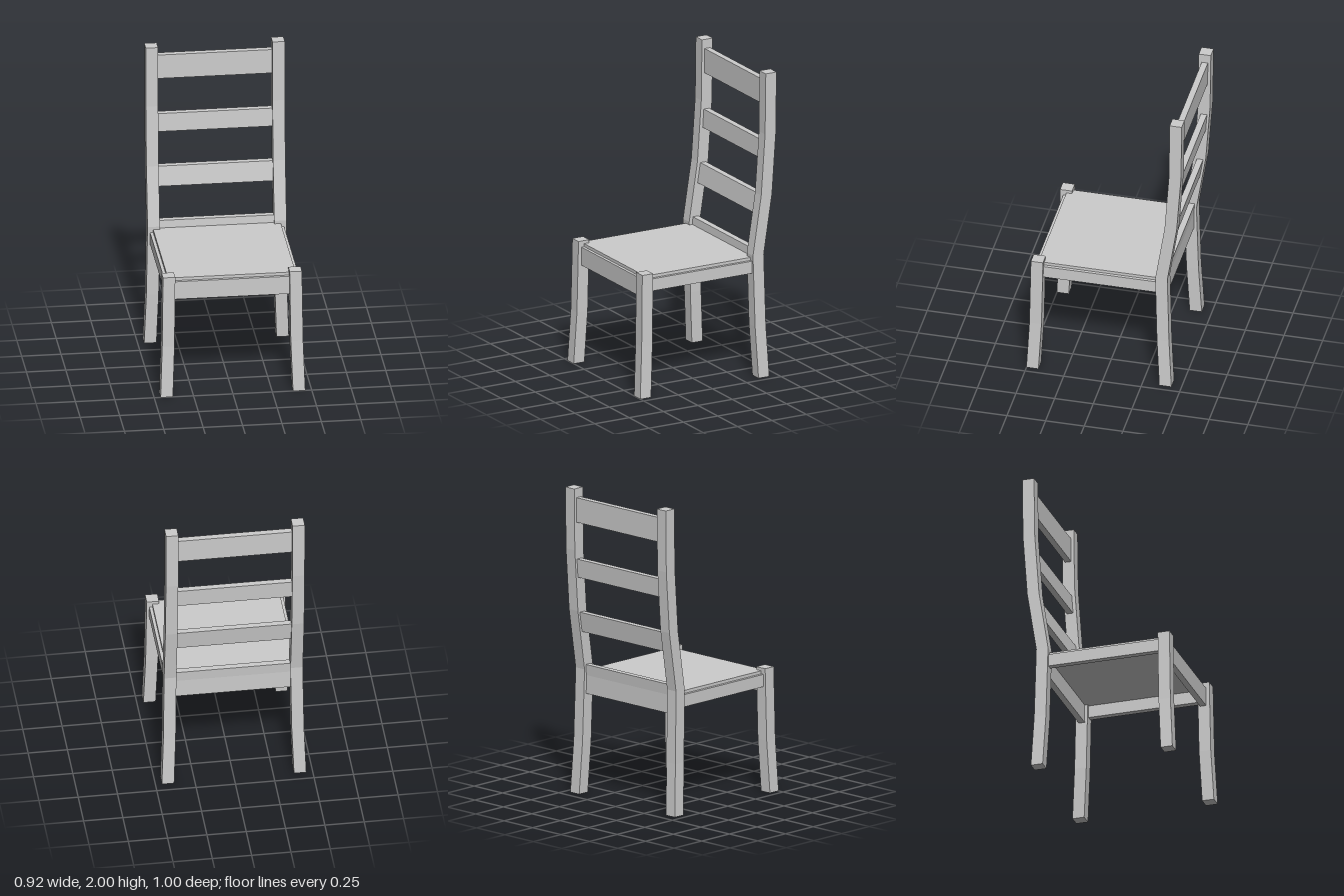
import * as THREE from 'three';

const material = new THREE.MeshStandardMaterial({ color: 0xcccccc, flatShading: true });

// Rectangular bar, w by d, swept upward through centre points [x, y, z]
function bar(name, w, d, points) {
  const n = points.length - 1;
  const geometry = new THREE.BoxGeometry(w, n, d, 1, n, 1);
  const pos = geometry.attributes.position;
  for (let i = 0; i < pos.count; i++) {
    const [x, y, z] = points[Math.round(pos.getY(i) + n / 2)];
    pos.setXYZ(i, pos.getX(i) + x, y, pos.getZ(i) + z);
  }
  const flat = geometry.toNonIndexed();
  flat.computeVertexNormals();
  const mesh = new THREE.Mesh(flat, material);
  mesh.name = name;
  return mesh;
}

// Axis-aligned board given by its limits
function board(name, x0, x1, y0, y1, z0, z1) {
  const mesh = new THREE.Mesh(new THREE.BoxGeometry(x1 - x0, y1 - y0, z1 - z0), material);
  mesh.position.set((x0 + x1) / 2, (y0 + y1) / 2, (z0 + z1) / 2);
  mesh.name = name;
  return mesh;
}

export function createModel() {
  const chair = new THREE.Group();
  chair.name = 'ladderBackChair';

  // Splayed front legs, curved back posts and side rails
  const frontPath = [[0.42, 0, 0.462], [0.408, 0.34, 0.445], [0.402, 0.81, 0.437]];
  const backPath = [
    [0.42, 0, -0.398], [0.408, 0.34, -0.38], [0.402, 0.81, -0.368],
    [0.402, 1.2, -0.428], [0.402, 1.6, -0.456], [0.402, 2, -0.461],
  ];
  for (const [side, s] of [['left', 1], ['right', -1]]) {
    const mirror = (path) => path.map(([x, y, z]) => [s * x, y, z]);
    chair.add(bar(side + 'FrontLeg', 0.078, 0.078, mirror(frontPath)));
    chair.add(bar(side + 'BackPost', 0.078, 0.078, mirror(backPath)));
    const xs = [s * 0.385, s * 0.425].sort((a, b) => a - b);
    chair.add(board(side + 'SeatRail', ...xs, 0.69, 0.77, -0.35, 0.42));
  }

  // Front apron and seat panel
  chair.add(board('frontApron', -0.38, 0.38, 0.65, 0.77, 0.415, 0.455));
  chair.add(board('seat', -0.405, 0.405, 0.77, 0.79, -0.355, 0.435));

  // Back rail and the slats, which lean with the posts
  const slats = [
    ['backRail', [0.65, -0.37], [0.77, -0.37], [0.84, -0.376]],
    ['lowerSlat', [1.06, -0.41], [1.19, -0.43]],
    ['middleSlat', [1.42, -0.447], [1.54, -0.455]],
    ['topSlat', [1.78, -0.459], [1.94, -0.461]],
  ];
  for (const [name, ...path] of slats) {
    chair.add(bar(name, 0.76, 0.04, path.map(([y, z]) => [0, y, z])));
  }
  return chair;
}
